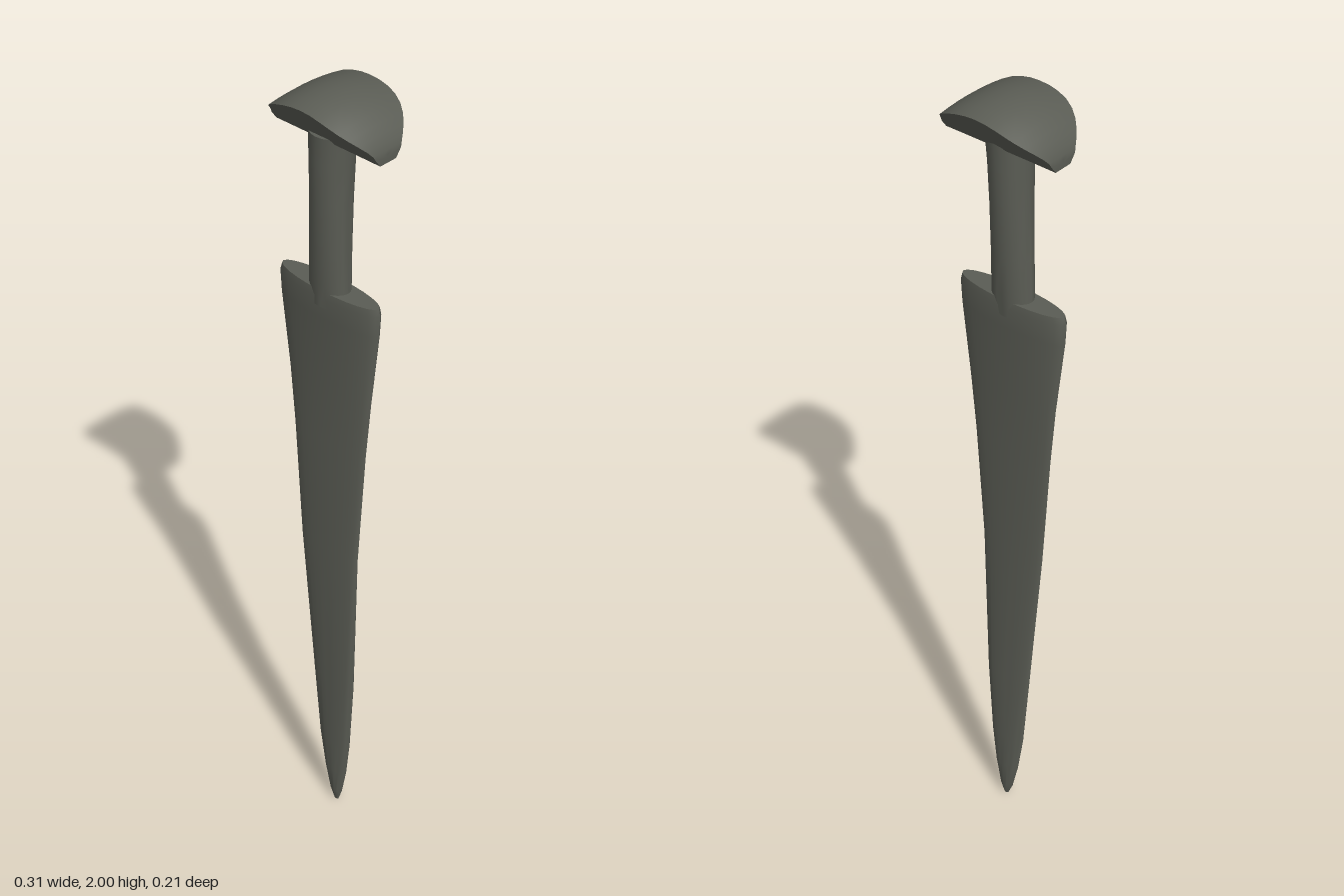
import * as THREE from 'three';
import { toCreasedNormals } from 'three/addons/utils/BufferGeometryUtils.js';

// Skin a closed surface over rings of [x, y, z] points, capping both ends.
function loft(rings, crease) {
  const n = rings[0].length;
  const points = rings.flat();
  const index = [];
  for (let i = 0; i < rings.length - 1; i++) {
    for (let j = 0; j < n; j++) {
      const a = i * n + j, b = i * n + (j + 1) % n;
      index.push(a, a + n, b, b, a + n, b + n);
    }
  }
  const addCap = (start, flip) => {
    const ring = points.slice(start, start + n);
    const centre = [0, 1, 2].map(k => ring.reduce((s, p) => s + p[k], 0) / n);
    const c = points.push(centre) - 1;
    for (let j = 0; j < n; j++) {
      const a = start + j, b = start + (j + 1) % n;
      index.push(c, flip ? a : b, flip ? b : a);
    }
  };
  addCap(0, true);
  addCap((rings.length - 1) * n, false);
  const geometry = new THREE.BufferGeometry();
  geometry.setAttribute('position', new THREE.Float32BufferAttribute(points.flat(), 3));
  geometry.setIndex(index);
  return toCreasedNormals(geometry, crease);
}

// Horizontal oval between the given x and z limits.
function oval([y, x0, x1, z0, z1], n = 20) {
  return Array.from({ length: n }, (_, j) => {
    const a = (j / n) * Math.PI * 2;
    return [
      (x0 + x1) / 2 + (x1 - x0) / 2 * Math.cos(a),
      y,
      (z0 + z1) / 2 + (z1 - z0) / 2 * Math.sin(a),
    ];
  });
}

// Vertical slice of the saddle-shaped pommel; t runs from -1 to 1 along x.
function pommelSlice(t) {
  const x = 0.005 + 0.148 * t;
  const halfWidth = 0.105 * (1 - 0.63 * t ** 4);
  const top = 1.9 + 0.1 * Math.max(0, 1 - t * t) ** 0.7;
  const rim = top - 0.014 * (1 - t * t);
  const bottom = 1.893 - 0.013 * t ** 4;
  const foot = 0.04 * (1 - 0.4 * t ** 4);
  const half = [];
  for (const f of [0.33, 0.67, 1]) half.push([x, top - (top - rim) * f * f, halfWidth * f]);
  for (const f of [0.33, 0.67, 1]) {
    half.push([x, rim + (bottom - rim) * f, halfWidth + (foot - halfWidth) * f]);
  }
  const mirrored = half.map(([px, y, z]) => [px, y, -z]).reverse();
  return [[x, top, 0], ...half, [x, bottom, 0], ...mirrored];
}

export function createModel() {
  const model = new THREE.Group();
  model.name = 'dagger';
  const metal = new THREE.MeshStandardMaterial({ color: 0x5a5c54 });
  metal.name = 'dark aged metal';

  const addPart = (name, geometry) => {
    const mesh = new THREE.Mesh(geometry, metal);
    mesh.name = name;
    model.add(mesh);
  };

  // Blade levels: y, x limits, z limits
  const blade = [
    [0, 0.010, 0.022, 0.004, 0.010],
    [0.03, -0.003, 0.032, -0.002, 0.015],
    [0.1, -0.020, 0.046, -0.005, 0.018],
    [0.2, -0.036, 0.058, -0.006, 0.020],
    [0.4, -0.054, 0.072, -0.005, 0.022],
    [0.8, -0.088, 0.087, -0.001, 0.026],
    [1.1, -0.113, 0.104, -0.008, 0.022],
    [1.25, -0.128, 0.117, -0.014, 0.024],
    [1.44, -0.153, 0.136, -0.027, 0.032],
    [1.495, -0.155, 0.139, -0.031, 0.037],
    [1.512, -0.150, 0.135, -0.029, 0.035],
  ];
  addPart('blade', loft(blade.map(level => oval(level, 24)), 0.8));

  // Grip, flaring gently at both ends
  const grip = [
    [1.47, -0.062, 0.047, -0.030, 0.036],
    [1.53, -0.060, 0.045, -0.035, 0.041],
    [1.62, -0.056, 0.045, -0.037, 0.045],
    [1.74, -0.051, 0.046, -0.042, 0.051],
    [1.84, -0.050, 0.050, -0.046, 0.056],
    [1.905, -0.050, 0.056, -0.048, 0.058],
  ];
  addPart('grip', loft(grip.map(level => oval(level)), 0.8));

  // Crescent pommel, denser slices near its tips
  const slices = Array.from({ length: 19 }, (_, i) => pommelSlice(Math.cos(i / 18 * Math.PI)));
  addPart('pommel', loft(slices, 0.8));

  return model;
}
